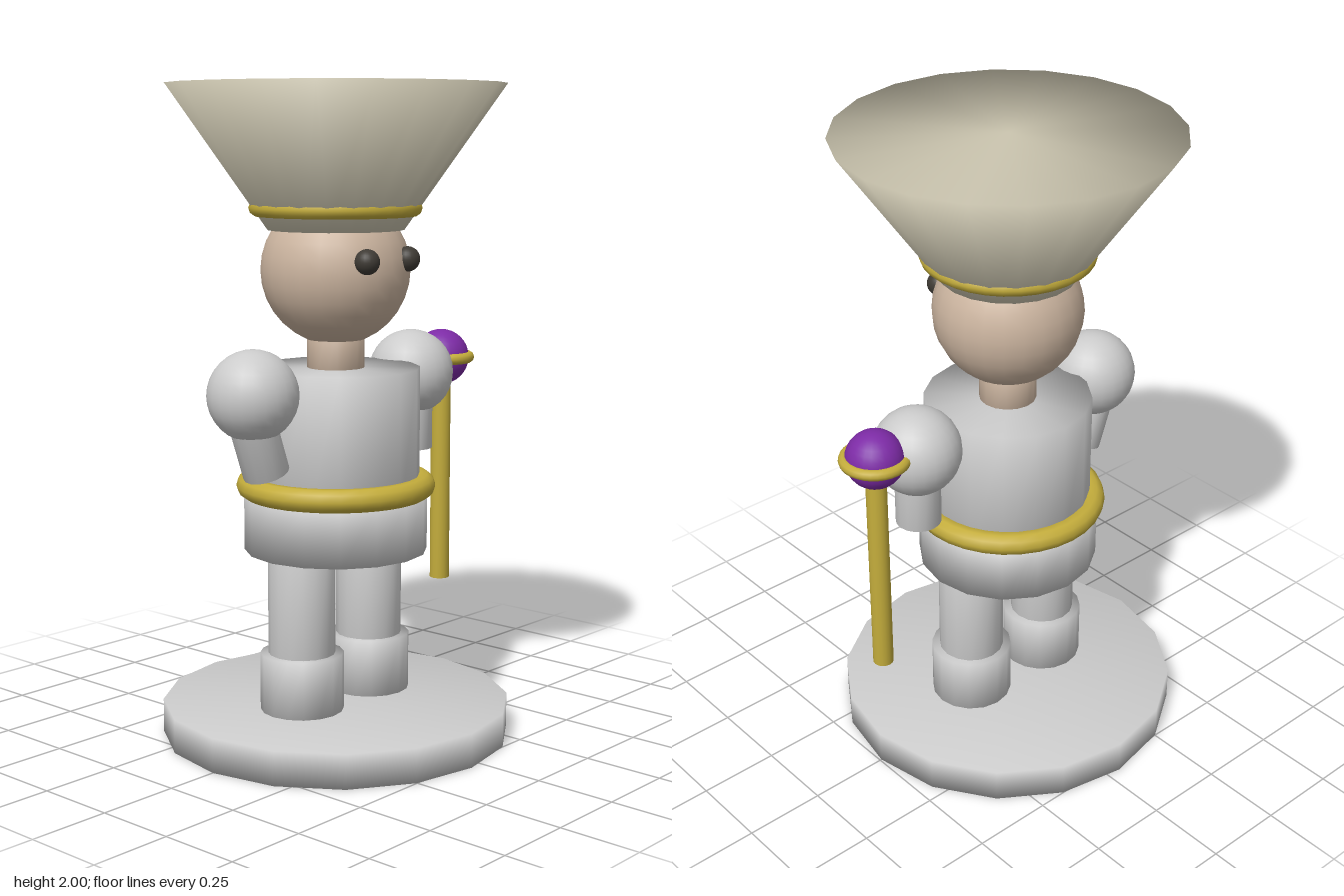
import * as THREE from 'three';
import { mergeVertices } from 'three/addons/utils/BufferGeometryUtils.js';

const material = (color) => new THREE.MeshStandardMaterial({ color });
const grey = material(0xcccccc);
const cream = material(0xccc6b0);
const skin = material(0xccb5a0);
const gold = material(0xc4ad3c);
const purple = material(0x7d2ba6);
const dark = material(0x3f3b35);

// Weld the vertices so that shading rolls over the rims of the caps
function soften(geometry) {
  geometry.deleteAttribute('uv');
  geometry.deleteAttribute('normal');
  const welded = mergeVertices(geometry, 1e-4);
  welded.computeVertexNormals();
  return welded;
}

export function createModel() {
  const model = new THREE.Group();
  const figure = new THREE.Group();
  figure.name = 'figure';
  figure.position.x = -0.045;
  model.add(figure);

  function add(name, geometry, mat, x, y, z = 0) {
    const mesh = new THREE.Mesh(geometry, mat);
    mesh.name = name;
    mesh.position.set(x, y, z);
    figure.add(mesh);
    return mesh;
  }
  // Upright cylinder or cone between two heights
  const column = (name, mat, x, y0, y1, rBottom, rTop = rBottom, sides = 16) =>
    add(name, soften(new THREE.CylinderGeometry(rTop, rBottom, y1 - y0, sides)), mat, x, (y0 + y1) / 2);
  const ball = (name, mat, r, x, y, z = 0) =>
    add(name, new THREE.SphereGeometry(r, 24, 16), mat, x, y, z);
  // Horizontal ring
  const ring = (name, r, tube, x, y) =>
    add(name, new THREE.TorusGeometry(r, tube, 10, 32).rotateX(Math.PI / 2), gold, x, y);

  // Stand and body
  column('base', grey, 0, 0, 0.105, 0.54);
  column('hips', grey, 0, 0.582, 0.77, 0.283);
  column('torso', grey, 0, 0.7, 1.148, 0.259);
  ring('belt', 0.271, 0.036, 0, 0.785);

  // Legs, boots, shoulders and eyes in pairs
  for (const [side, s] of [['left', 1], ['right', -1]]) {
    column(side + 'Boot', grey, s * 0.155, 0.105, 0.283, 0.128);
    column(side + 'Leg', grey, s * 0.155, 0.2, 0.6, 0.103);
    ball(side + 'Shoulder', grey, 0.136, s * 0.36, 1.098);
    const arm = column(side + 'Arm', grey, s * 0.36, 0.852, 1.164, 0.07);
    if (s < 0) arm.rotation.z = 0.35;
    ball(side + 'Eye', dark, 0.038, s * 0.092, 1.482, 0.206);
  }

  // Head and flared hat
  column('neck', skin, 0, 1.12, 1.27, 0.088);
  ball('head', skin, 0.228, 0, 1.445);
  column('hat', cream, 0, 1.566, 2, 0.208, 0.513, 20);
  ring('hatBand', 0.237, 0.026, 0, 1.632);

  // Staff with orb, beside the left hand
  column('staff', gold, 0.515, 0.394, 1.13, 0.032);
  ball('staffOrb', purple, 0.09, 0.515, 1.132);
  ring('staffRing', 0.09, 0.018, 0.515, 1.132);

  return model;
}
